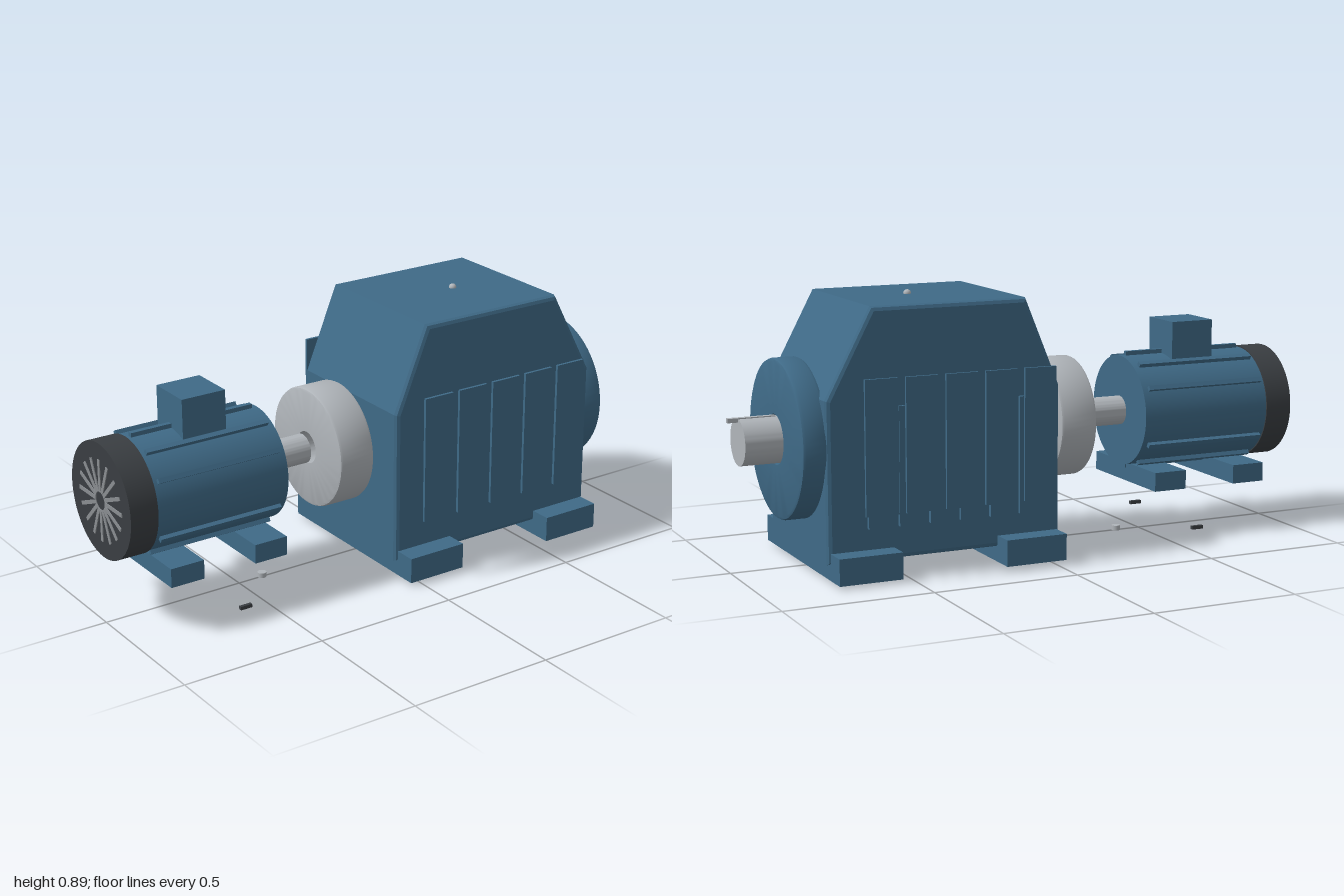
import * as THREE from 'three';
import { toCreasedNormals } from 'three/addons/utils/BufferGeometryUtils.js';

const AXIS_Y = 0.427; // height of the common shaft line

export function createModel() {
  const root = new THREE.Group();
  root.name = 'gearMotorSet';
  const material = (name, color) => {
    const m = new THREE.MeshStandardMaterial({ color });
    m.name = name;
    return m;
  };
  const blue = material('bluePaint', 0x3f6a87);
  const steel = material('steel', 0xb0b5ba);
  const dark = material('darkGrey', 0x3a3e42);
  const grey = material('ventGrey', 0x8a8e92);

  const add = (parent, name, geometry, mat) => {
    const mesh = new THREE.Mesh(geometry, mat);
    mesh.name = name;
    parent.add(mesh);
    return mesh;
  };
  // Box given by its limits on each axis
  const box = (parent, name, [x0, x1], [y0, y1], [z0, z1], mat) => {
    const mesh = add(parent, name, new THREE.BoxGeometry(x1 - x0, y1 - y0, z1 - z0), mat);
    mesh.position.set((x0 + x1) / 2, (y0 + y1) / 2, (z0 + z1) / 2);
    return mesh;
  };
  // Turned part on the shaft line, with bevelled rims and an optional bore
  const turned = (parent, name, x0, x1, r, bevel, bore, mat) => {
    const pts = [[bore, x0], [r - bevel, x0]];
    if (bevel) pts.push([r - bevel * 0.3, x0 + bevel * 0.3], [r, x0 + bevel], [r, x1 - bevel], [r - bevel * 0.3, x1 - bevel * 0.3]);
    pts.push([r - bevel, x1], [bore, x1]);
    if (bore) pts.push([bore, x0]);
    let g = new THREE.LatheGeometry(pts.map(p => new THREE.Vector2(...p)), 64);
    g = toCreasedNormals(g, 0.5).rotateZ(-Math.PI / 2);
    const mesh = add(parent, name, g, mat);
    mesh.position.y = AXIS_Y;
    return mesh;
  };

  // ---- Gearbox ----
  const gearbox = new THREE.Group();
  gearbox.name = 'gearbox';
  root.add(gearbox);

  // Housing with sloped shoulders
  const outline = new THREE.Shape([[-0.05, 0.06], [0.765, 0.06], [0.765, 0.585],
    [0.61, 0.875], [0.07, 0.875], [-0.05, 0.585]].map(p => new THREE.Vector2(...p)));
  const bevel = 0.015;
  const housing = new THREE.ExtrudeGeometry(outline, {
    depth: 0.54 - 2 * bevel, bevelEnabled: true, bevelThickness: bevel,
    bevelSize: bevel, bevelOffset: -bevel, bevelSegments: 2,
  });
  housing.translate(0, 0, -0.27 + bevel);
  add(gearbox, 'housing', housing, blue);

  // Cross feet
  for (const x of [-0.04, 0.54]) {
    box(gearbox, 'gearboxFoot', [x, x + 0.215], [0.01, 0.098], [-0.345, 0.345], blue);
  }
  // Stand-off side panels
  for (const z of [-0.35, 0.35]) {
    for (let i = 0; i < 5; i++) {
      const x = 0.005 + i * 0.1375;
      box(gearbox, 'sidePanel', [x, x + 0.112], [0.225, 0.66], [z - 0.005, z + 0.005], blue);
    }
  }
  // Rear cooling ribs
  for (let i = 0; i < 6; i++) {
    const x = 0.09 + i * 0.106;
    box(gearbox, 'rearRib', [x - 0.01, x + 0.01], [0.167, 0.556], [-0.283, -0.26], blue);
  }
  // Breather on the lid
  add(gearbox, 'breather', new THREE.SphereGeometry(0.013, 16, 12), steel).position.set(0.375, 0.876, 0);

  // Output flange, shaft and key
  turned(gearbox, 'outputFlange', 0.75, 0.84, 0.263, 0.012, 0.083, blue);
  turned(gearbox, 'outputShaft', 0.74, 0.965, 0.077, 0, 0, steel);
  box(gearbox, 'shaftKey', [0.84, 1.0], [0.493, 0.507], [-0.009, 0.009], steel);

  // ---- Coupling ----
  turned(root, 'coupling', -0.225, -0.093, 0.205, 0.01, 0.055, steel);

  // ---- Motor ----
  const motor = new THREE.Group();
  motor.name = 'motor';
  root.add(motor);
  turned(motor, 'motorBody', -0.9, -0.42, 0.191, 0, 0, blue);
  turned(motor, 'motorShaft', -0.43, -0.24, 0.05, 0, 0, steel);
  turned(motor, 'fanCover', -0.997, -0.9, 0.195, 0, 0, dark);

  // Cooling fins, none at the two sides
  for (let i = 0; i < 12; i++) {
    if (i % 6 === 0) continue;
    const a = (i * Math.PI) / 6;
    const fin = add(motor, 'motorFin', new THREE.BoxGeometry(0.445, 0.03, 0.016), blue);
    fin.position.set(-0.6625, AXIS_Y + 0.19 * Math.sin(a), 0.19 * Math.cos(a));
    fin.rotation.x = Math.PI / 2 - a;
  }
  // Motor feet and terminal box
  for (const x of [-0.875, -0.565]) {
    box(motor, 'motorFoot', [x, x + 0.12], [0.175, 0.24], [-0.215, 0.215], blue);
  }
  box(motor, 'terminalBox', [-0.74, -0.582], [0.6, 0.735], [-0.08, 0.08], blue);

  // Radial vent slots on the fan cover
  for (let i = 0; i < 16; i++) {
    const a = (i * Math.PI) / 8;
    const slot = add(motor, 'ventSlot', new THREE.BoxGeometry(0.006, 0.11, 0.013), grey);
    slot.position.set(-0.997, AXIS_Y + 0.085 * Math.cos(a), 0.085 * Math.sin(a));
    slot.rotation.x = a;
  }

  // ---- Loose hardware below the motor ----
  for (const z of [-0.22, 0.22]) {
    box(root, 'loosePin', [-0.63, -0.588], [0.03, 0.042], [z - 0.006, z + 0.006], dark);
  }
  add(root, 'drainPlug', new THREE.CylinderGeometry(0.015, 0.015, 0.017, 24), steel)
    .position.set(-0.41, 0.0085, 0);

  return root;
}
